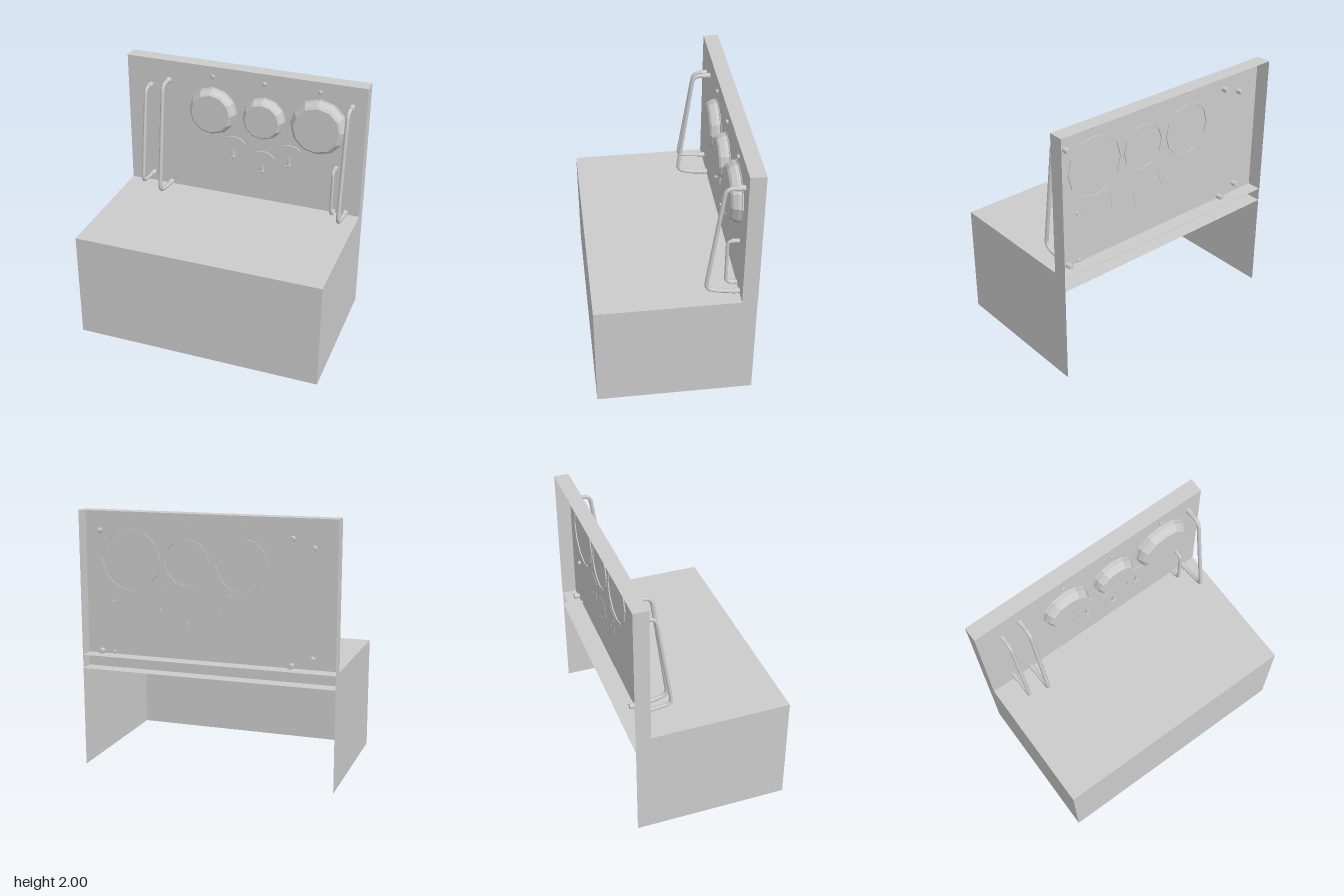
import * as THREE from 'three';

const smooth = new THREE.MeshStandardMaterial({ color: 0xcccccc, side: THREE.DoubleSide });
const flat = new THREE.MeshStandardMaterial({ color: 0xcccccc, side: THREE.DoubleSide, flatShading: true });

const HALF_W = 0.995, HALF_D = 0.602, COUNTER_Y = 0.885;
const PANEL_Z = -0.485, PANEL_LOW = 0.78, TOP = 2;

function add(parent, name, geometry, material, x = 0, y = 0, z = 0) {
  const mesh = new THREE.Mesh(geometry, material);
  mesh.name = name;
  mesh.position.set(x, y, z);
  parent.add(mesh);
  return mesh;
}

// Thin walls: facing z, facing y, facing x
function wallZ(parent, name, y0, y1, z) {
  add(parent, name, new THREE.PlaneGeometry(2 * HALF_W, y1 - y0), flat, 0, (y0 + y1) / 2, z);
}
function wallY(parent, name, z0, z1, y) {
  const g = new THREE.PlaneGeometry(2 * HALF_W, z1 - z0).rotateX(-Math.PI / 2);
  add(parent, name, g, flat, 0, y, (z0 + z1) / 2);
}
function sideWalls(parent, name, y0, y1, z0, z1) {
  for (const s of [-1, 1]) {
    const g = new THREE.PlaneGeometry(z1 - z0, y1 - y0).rotateY(s * Math.PI / 2);
    add(parent, name, g, flat, s * HALF_W, (y0 + y1) / 2, (z0 + z1) / 2);
  }
}

// Cylinder lying along z from z0 to z1
function peg(parent, name, r, x, y, z0, z1, sides = 10) {
  const g = new THREE.CylinderGeometry(r, r, z1 - z0, sides).rotateX(Math.PI / 2);
  return add(parent, name, g, flat, x, y, (z0 + z1) / 2);
}

// Pipe through [z, y] points with rounded corners
function pipe(points, bend, radius) {
  const p = points.map(([z, y]) => new THREE.Vector3(0, y, z));
  const path = new THREE.CurvePath();
  let start = p[0];
  for (let i = 1; i < p.length - 1; i++) {
    const a = p[i].clone().add(p[i - 1].clone().sub(p[i]).setLength(bend));
    const b = p[i].clone().add(p[i + 1].clone().sub(p[i]).setLength(bend));
    path.add(new THREE.LineCurve3(start, a));
    path.add(new THREE.QuadraticBezierCurve3(a, p[i], b));
    start = b;
  }
  path.add(new THREE.LineCurve3(start, p[p.length - 1]));
  return new THREE.TubeGeometry(path, 60, radius, 10);
}

// Bent rail with a collar at each end that passes through the panel
function rail(parent, x, points, bend, radius, collar, backZ) {
  const group = new THREE.Group();
  group.name = 'rail';
  group.position.x = x;
  add(group, 'railPipe', pipe(points, bend, radius), smooth);
  for (const [, y] of [points[0], points[points.length - 1]]) {
    peg(group, 'railCollar', collar, 0, y, backZ, -0.43);
  }
  parent.add(group);
}

// Faceted shallow dish, open at the back
function dish(parent, x, y, r) {
  const profile = [[0, 0.082], [0.79 * r, 0.082], [0.87 * r, 0.068], [0.95 * r, 0.033], [0.96 * r, 0.008], [r, 0.004], [r, -0.008]];
  const g = new THREE.LatheGeometry(profile.map(([a, b]) => new THREE.Vector2(a, b)).reverse(), 12);
  g.rotateX(Math.PI / 2);
  add(parent, 'dish', g, flat, x, y, PANEL_Z);
}

// Shield-shaped plate with a small hook
function hookPlate(parent, x, y) {
  const group = new THREE.Group();
  group.name = 'hookPlate';
  group.position.set(x, y, PANEL_Z);
  const half = [[0.06, 0.1], [0.1, 0.065], [0.078, -0.03], [0.07, -0.09]];
  const outline = [[0, 0.115], ...half, [0, -0.118], ...half.map(([a, b]) => [-a, b]).reverse()];
  const shape = new THREE.Shape(outline.map(([a, b]) => new THREE.Vector2(a, b)));
  const plate = new THREE.ExtrudeGeometry(shape, { depth: 0.012, bevelEnabled: false });
  add(group, 'plate', plate, flat, 0, 0, -0.002);
  const stem = new THREE.CylinderGeometry(0.005, 0.018, 0.065, 6);
  add(group, 'hookStem', stem, flat, 0, -0.03, 0.014).rotation.x = 0.15;
  add(group, 'hookTip', new THREE.ConeGeometry(0.02, 0.032, 6).rotateX(Math.PI), flat, 0, -0.076, 0.02);
  peg(group, 'hookEnd', 0.01, 0, -0.065, 0.01, 0.035, 6);
  parent.add(group);
}

export function createModel() {
  const model = new THREE.Group();
  model.name = 'counterWithBackPanel';

  // Hollow counter, open underneath and behind
  const counter = new THREE.Group();
  counter.name = 'counter';
  wallZ(counter, 'counterFront', 0, COUNTER_Y, HALF_D);
  wallY(counter, 'counterTop', -HALF_D + 0.002, HALF_D, COUNTER_Y);
  sideWalls(counter, 'counterSide', 0, COUNTER_Y, -HALF_D + 0.002, HALF_D);
  model.add(counter);

  // Back panel, a shallow tray open to the rear
  const panel = new THREE.Group();
  panel.name = 'backPanel';
  wallZ(panel, 'panelFace', PANEL_LOW, TOP, PANEL_Z);
  wallY(panel, 'panelTop', -HALF_D, PANEL_Z, TOP);
  wallY(panel, 'panelBottom', -HALF_D, PANEL_Z, PANEL_LOW);
  sideWalls(panel, 'panelSide', COUNTER_Y, TOP, -HALF_D, PANEL_Z);
  model.add(panel);

  // Dishes, each with a knob above
  for (const [x, r] of [[-0.255, 0.203], [0.175, 0.178], [0.625, 0.236]]) {
    dish(model, x, 1.625, r);
    peg(model, 'knobStem', 0.01, x, 1.92, -0.495, -0.478, 8);
    add(model, 'knob', new THREE.SphereGeometry(0.019, 8, 6).scale(1, 1, 0.6), smooth, x, 1.92, -0.474);
  }

  // Plates with hooks
  for (const [x, y] of [[-0.08, 1.31], [0.17, 1.22], [0.395, 1.31]]) hookPlate(model, x, y);

  // Rails: two tall, one medium, one short
  const tall = [[-0.5, 1.838], [-0.35, 1.838], [-0.232, 0.945], [-0.36, 0.91], [-0.5, 0.905]];
  const medium = [[-0.5, 1.775], [-0.375, 1.775], [-0.255, 0.99], [-0.36, 0.975], [-0.5, 0.967]];
  const short = [[-0.5, 1.295], [-0.4, 1.295], [-0.4, 0.91], [-0.5, 0.9]];
  for (const x of [-0.635, 0.88]) rail(model, x, tall, 0.055, 0.016, 0.021, -0.53);
  rail(model, -0.795, medium, 0.05, 0.014, 0.02, -0.53);
  rail(model, 0.78, short, 0.04, 0.013, 0.016, -0.495);

  return model;
}
